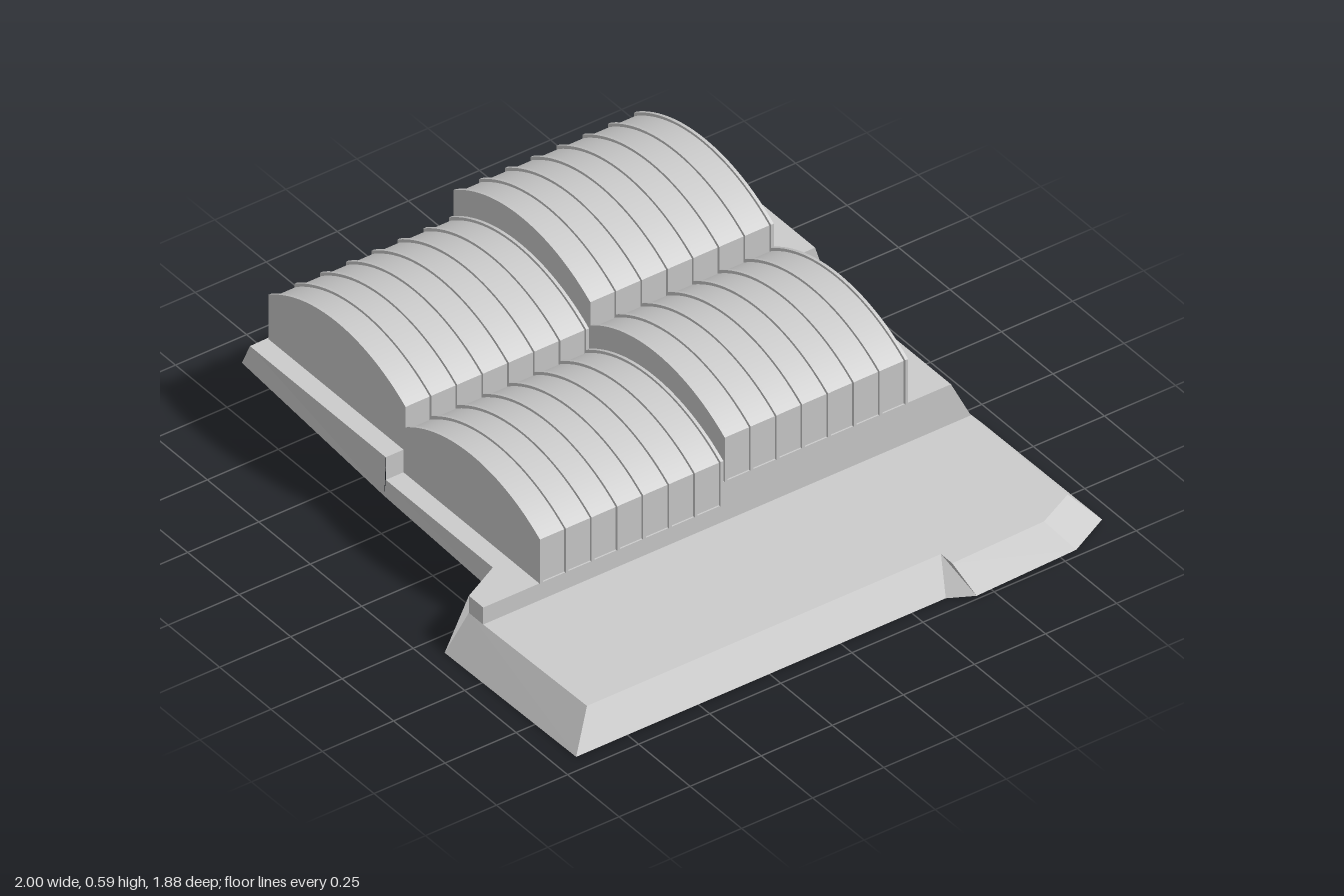
import * as THREE from 'three';

const mat = new THREE.MeshStandardMaterial({ color: 0xcccccc, side: THREE.DoubleSide });

function add(parent, name, geometry) {
  const mesh = new THREE.Mesh(geometry, mat);
  mesh.name = name;
  parent.add(mesh);
  return mesh;
}

// flat-shaded geometry from a list of convex (or fan-visible) polygons
function faces(polys) {
  const pos = [];
  for (const p of polys)
    for (let i = 1; i < p.length - 1; i++) pos.push(...p[0], ...p[i], ...p[i + 1]);
  const g = new THREE.BufferGeometry();
  g.setAttribute('position', new THREE.Float32BufferAttribute(pos, 3));
  g.computeVertexNormals();
  return g;
}

// wall between an upper and a lower polyline, given as [top, bottom] pairs
function wall(pairs) {
  const polys = [];
  for (let i = 0; i < pairs.length - 1; i++) {
    const [a, a2] = pairs[i], [b, b2] = pairs[i + 1];
    polys.push([a, a2, b2], [a, b2, b]);
  }
  return faces(polys);
}

// upright riser from (x0,z0) to (x1,z1)
const riser = (x0, z0, x1, z1, top, low) =>
  wall([[[x0, top, z0], [x0, low, z0]], [[x1, top, z1], [x1, low, z1]]]);

// plan levels and lines
const XM = -0.27, XR = 0.39, ZM = 0.01, ZF = 0.72, ZB = -0.79;
const LOW = 0.105, FR = 0.165, FL = 0.245, BR = 0.245, BL = 0.335;

function buildBase() {
  const base = new THREE.Group();
  base.name = 'terracedBase';

  // level tops
  const level = (y, pts) => [pts.map(([x, z]) => [x, y, z])];
  add(base, 'forecourt', faces(level(LOW, [[XR, -0.86], [XR, 0.855], [0.88, 0.845], [0.88, -0.4],
    [0.935, -0.4], [0.925, -0.73], [0.86, -0.86]])));
  add(base, 'frontRightTerrace', faces([
    ...level(FR, [[XM, ZM], [XM, ZF], [0.25, ZF], [XR, ZM]]),
    ...level(FR, [[XR, ZM], [0.25, ZF], [0.32, 0.855], [XR, 0.855]])]));
  add(base, 'frontLeftTerrace', faces(level(FL, [[-0.95, ZM], [-0.93, ZF], [XM, ZF], [XM, ZM]])));
  add(base, 'backRightTerrace', faces(level(BR, [[XM, ZB], [XM, ZM], [XR, ZM], [XR, ZB]])));
  add(base, 'backLeftTerrace', faces(level(BL, [[-0.97, ZB], [-0.95, ZM], [XM, ZM], [XM, ZB]])));

  // risers between levels
  add(base, 'terraceRiser', riser(-0.95, ZM, XM, ZM, BL, FL));
  add(base, 'terraceRiser', riser(XM, ZM, XR, ZM, BR, FR));
  add(base, 'terraceRiser', riser(XM, ZF, XM, ZM, FL, FR));
  add(base, 'terraceRiser', riser(XM, ZM, XM, ZB, BL, BR));
  add(base, 'terraceRiser', faces([[[XM, BL, ZB], [XM, BR, ZB], [XM, 0.11, -0.86]]]));
  add(base, 'plinthRiser', riser(XR, 0.855, XR, ZM, FR, LOW));
  add(base, 'plinthRiser', riser(XR, ZM, XR, ZB, BR, LOW));
  add(base, 'plinthRiser', faces([[[XR, BR, ZB], [XR, LOW, ZB], [XR, LOW, -0.86]]]));
  add(base, 'plinthRiser', riser(0.32, 0.855, XR, 0.855, FR, LOW));

  // battered outer skirts
  add(base, 'frontLeftSkirt', wall([
    [[-0.93, FL, ZF], [-0.955, 0.175, 0.73]],
    [[XM, FL, ZF], [XM, 0.11, 0.725]]]));
  add(base, 'frontRightSkirt', wall([
    [[XM, FR, ZF], [XM, 0.11, 0.725]],
    [[0.25, FR, ZF], [0.25, 0.08, ZF]],
    [[0.32, FR, 0.855], [0.32, 0, 0.94]],
    [[0.32, LOW, 0.855], [0.32, 0, 0.94]]]));
  add(base, 'forecourtSkirt', wall([
    [[0.32, LOW, 0.855], [0.32, 0, 0.94]],
    [[0.88, LOW, 0.845], [0.945, 0, 0.93]],
    [[0.88, LOW, -0.4], [0.945, 0, -0.37]],
    [[0.935, LOW, -0.4], [0.998, 0.01, -0.44]],
    [[0.925, LOW, -0.73], [0.985, 0.01, -0.8]],
    [[0.86, LOW, -0.86], [0.91, 0.01, -0.945]],
    [[0.33, LOW, -0.86], [0.33, 0.01, -0.94]],
    [[0.33, LOW, -0.86], [0.33, 0.08, -0.86]]]));
  add(base, 'backRightSkirt', wall([
    [[XR, BR, ZB], [XR, LOW, -0.86]],
    [[0.33, BR, ZB], [0.33, 0.08, -0.86]],
    [[XM, BR, ZB], [XM, 0.11, -0.86]]]));
  add(base, 'backLeftSkirt', wall([
    [[XM, BL, ZB], [XM, 0.11, -0.86]],
    [[-0.97, BL, ZB], [-1, 0.175, -0.86]]]));
  add(base, 'leftSkirt', wall([
    [[-0.97, BL, ZB], [-1, 0.175, -0.86]],
    [[-0.95, BL, ZM], [-0.977, 0.175, ZM]],
    [[-0.95, FL, ZM], [-0.977, 0.175, ZM]],
    [[-0.93, FL, ZF], [-0.955, 0.175, 0.73]]]));
  return base;
}

// barrel-vaulted hall: half width, length, wall height, arch rise
const HW = 0.325, LEN = 0.645, WALL = 0.15, RISE = 0.1, RIBS = 8;
const R = (HW * HW + RISE * RISE) / (2 * RISE);
const ANG = Math.asin(HW / R), CY = WALL + RISE - R;

// arch points from right springing to left springing, grown outward by d
const arch = (d) => Array.from({ length: 25 }, (_, i) => {
  const t = ANG * (1 - i / 12);
  return new THREE.Vector2(Math.sin(t) * (HW + d) / Math.sin(ANG), CY + Math.cos(t) * (R + d));
});

function buildHall(name, door) {
  const hall = new THREE.Group();
  hall.name = name;
  const roof = new THREE.CylinderGeometry(R, R, LEN, 24, 1, true, -ANG, 2 * ANG);
  add(hall, 'vaultRoof', roof.rotateX(-Math.PI / 2).translate(0, CY, 0));
  add(hall, 'sideWall', riser(HW, LEN / 2, HW, -LEN / 2, WALL, 0));
  add(hall, 'sideWall', riser(-HW, -LEN / 2, -HW, LEN / 2, WALL, 0));

  // end walls, the rear one notched by a doorway where given
  for (const end of [1, -1]) {
    const pts = [new THREE.Vector2(HW, 0), ...arch(0), new THREE.Vector2(-HW, 0)];
    if (end < 0 && door) {
      const [x0, x1, h] = door;
      pts.push(...[[x0, 0], [x0, h], [x1, h], [x1, 0]].map((p) => new THREE.Vector2(...p)));
    }
    if (end < 0) pts.forEach((p) => { p.x *= -1; });
    const g = new THREE.ShapeGeometry(new THREE.Shape(pts));
    if (end < 0) g.rotateY(Math.PI);
    add(hall, 'endWall', g.translate(0, 0, end * LEN / 2));
  }

  // thin ribs over the roof and down the walls
  const d = 0.008, depth = 0.01;
  const outline = [new THREE.Vector2(HW + d, 0), ...arch(d), new THREE.Vector2(-HW - d, 0),
    new THREE.Vector2(-HW, 0), ...arch(0).reverse(), new THREE.Vector2(HW, 0)];
  const rib = new THREE.ExtrudeGeometry(new THREE.Shape(outline), { depth, bevelEnabled: false });
  for (let i = 0; i < RIBS; i++)
    add(hall, 'rib', rib).position.z = -LEN / 2 + (LEN - depth) * i / (RIBS - 1);
  return hall;
}

export function createModel() {
  const model = new THREE.Group();
  model.name = 'vaultedHalls';
  model.add(buildBase());
  const halls = [
    ['frontLeftHall', -0.593, FL, 0.335, null],
    ['frontRightHall', 0.06, FR, 0.335, null],
    ['backLeftHall', -0.593, BL, -0.315, [-0.06, 0.06, 0.11]],
    ['backRightHall', 0.06, BR, -0.315, [0.1, 0.15, 0.07]],
  ];
  for (const [name, x, y, z, door] of halls) {
    const hall = buildHall(name, door);
    hall.position.set(x, y, z);
    model.add(hall);
  }
  return model;
}
